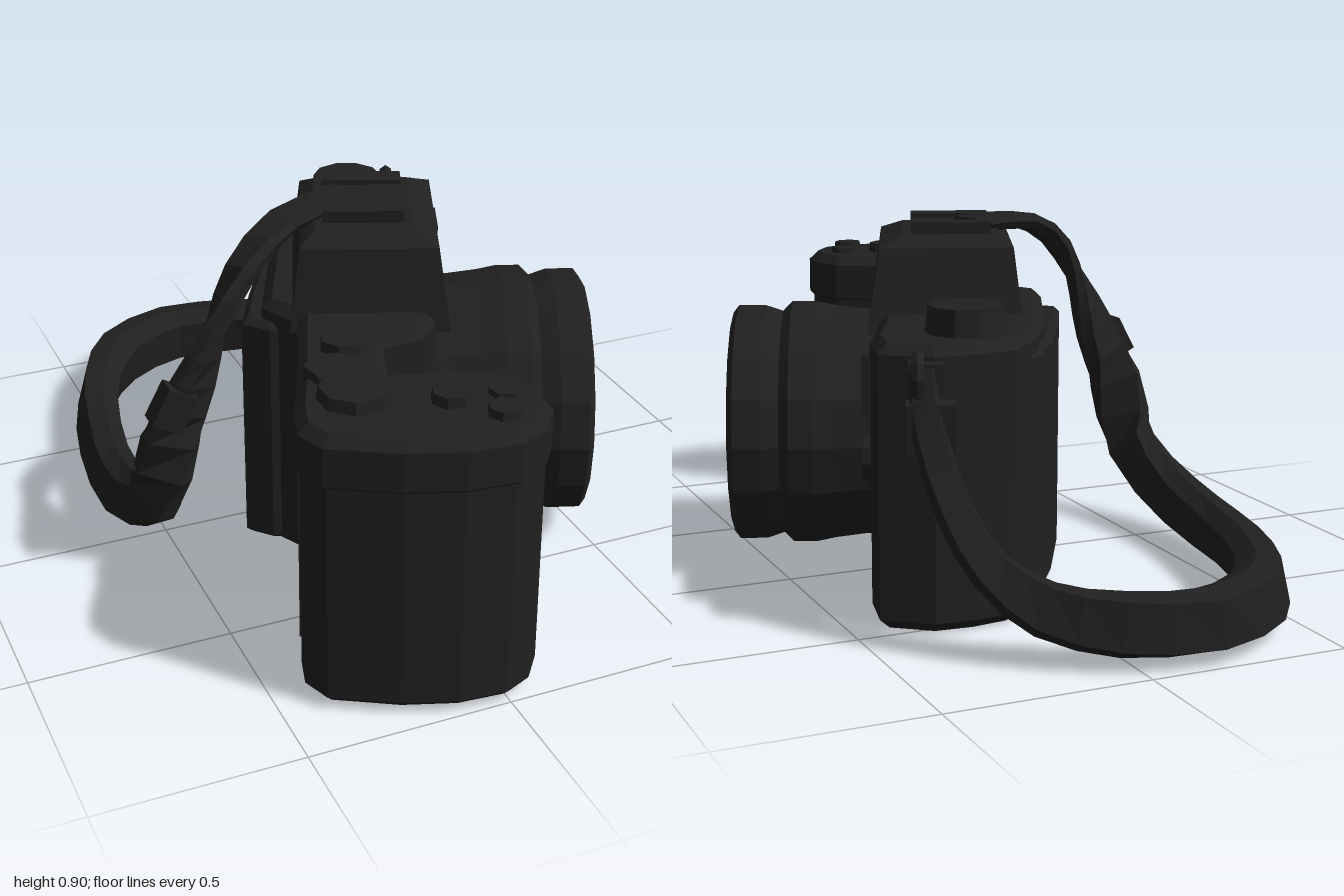
import * as THREE from 'three';

const black = new THREE.MeshStandardMaterial({ color: 0x202020 });
black.name = 'matte black';

// Faceted normals for the low-poly look
function flat(geo) {
  const g = geo.index ? geo.toNonIndexed() : geo;
  g.computeVertexNormals();
  return g;
}

function add(parent, name, geo, x = 0, y = 0, z = 0) {
  const m = new THREE.Mesh(flat(geo), black);
  m.name = name;
  m.position.set(x, y, z);
  parent.add(m);
  return m;
}

// Solid from a plan outline of [x, z] points between two heights
function slab(points, y0, y1, bevel = 0.02) {
  const shape = new THREE.Shape(points.map(([x, z]) => new THREE.Vector2(x, -z)));
  const g = new THREE.ExtrudeGeometry(shape, {
    depth: y1 - y0 - 2 * bevel, bevelEnabled: true, bevelSegments: 1,
    bevelSize: bevel, bevelThickness: bevel, bevelOffset: -bevel,
  });
  return g.rotateX(-Math.PI / 2).translate(0, y0 + bevel, 0);
}

// Box whose top face has its own extents: [x0, x1, z0, z1]
function taper(base, top, y0, y1) {
  const g = new THREE.BoxGeometry(1, 1, 1);
  const p = g.attributes.position;
  for (let i = 0; i < p.count; i++) {
    const up = p.getY(i) > 0;
    const e = up ? top : base;
    p.setXYZ(i, p.getX(i) < 0 ? e[0] : e[1], up ? y1 : y0, p.getZ(i) < 0 ? e[2] : e[3]);
  }
  return g;
}

// Ribbon swept along rows of [x, y, z, width, thickness, twist in degrees]
function ribbon(rows) {
  const curve = new THREE.CatmullRomCurve3(rows.map(r => new THREE.Vector3(r[0], r[1], r[2])));
  const steps = (rows.length - 1) * 2, pos = [], idx = [];
  const up = new THREE.Vector3(0, 1, 0);
  for (let i = 0; i <= steps; i++) {
    const t = i / steps, a = rows[Math.floor(i / 2)], b = rows[Math.ceil(i / 2)];
    const [w, thick, deg] = [3, 4, 5].map(k => (a[k] + b[k]) / 2);
    const ang = THREE.MathUtils.degToRad(deg);
    const c = curve.getPoint(t), T = curve.getTangent(t);
    const H = new THREE.Vector3().crossVectors(T, up).normalize();
    const N = new THREE.Vector3().crossVectors(H, T);
    const W = H.multiplyScalar(Math.cos(ang)).addScaledVector(N, Math.sin(ang));
    const D = new THREE.Vector3().crossVectors(W, T);
    // six-sided section: thicker in the middle than at the edges
    for (const [u, v] of [[1, 0], [0.75, 1], [-0.75, 1], [-1, 0], [-0.75, -1], [0.75, -1]]) {
      const q = c.clone().addScaledVector(W, u * w / 2).addScaledVector(D, v * thick / 2);
      pos.push(q.x, q.y, q.z);
    }
  }
  for (let i = 0; i < steps; i++) {
    for (let j = 0; j < 6; j++) {
      const a = i * 6 + j, b = i * 6 + (j + 1) % 6;
      idx.push(a, a + 6, b, b, a + 6, b + 6);
    }
  }
  const last = steps * 6;
  for (let j = 1; j < 5; j++) {
    idx.push(0, j, j + 1);
    idx.push(last, last + j + 1, last + j);
  }
  const g = new THREE.BufferGeometry();
  g.setAttribute('position', new THREE.Float32BufferAttribute(pos, 3));
  g.setIndex(idx);
  return g;
}

export function createModel() {
  const model = new THREE.Group();
  model.name = 'camera';
  // The camera is turned on its stand; its own front is local +z
  const cam = new THREE.Group();
  cam.name = 'cameraBody';
  cam.rotation.y = 1.192;
  model.add(cam);

  // Main body and the raised back plate
  add(cam, 'body', slab([
    [0.54, -0.09], [0.59, 0.0], [0.62, 0.1], [0.585, 0.23], [0.455, 0.25], [0.28, 0.235], [-0.3, 0.225],
    [-0.39, 0.19], [-0.44, 0.09], [-0.7, 0.1], [-0.7, -0.113], [-0.3, -0.112], [-0.22, -0.2],
    [0.21, -0.18], [0.4, -0.145],
  ], 0.005, 0.69, 0.025));
  add(cam, 'backPlate', slab([
    [0.53, -0.08], [0.39, -0.16], [0.21, -0.2], [-0.05, -0.235], [-0.225, -0.25],
    [-0.26, -0.18], [-0.24, 0], [0.5, 0],
  ], 0.02, 0.64, 0.015));

  // Hand grip with a wider cap
  const grip = [
    [-0.64, 0.13], [-0.625, 0.25], [-0.65, 0.367], [-0.714, 0.425], [-0.793, 0.45], [-0.88, 0.425],
    [-0.935, 0.37], [-0.97, 0.253], [-0.975, 0.115], [-0.95, -0.058], [-0.89, -0.111],
    [-0.81, -0.119], [-0.66, -0.113],
  ];
  const inset = grip.map(([x, z]) => [-0.79 + (x + 0.79) * 0.96, 0.15 + (z - 0.15) * 0.96]);
  add(cam, 'grip', slab(inset, 0.015, 0.62));
  add(cam, 'gripCap', slab(grip, 0.57, 0.715, 0.025));

  // Viewfinder hump with a sloped brow and accessory shoe
  add(cam, 'viewfinderHump', taper([-0.305, 0.21, -0.13, 0.26], [-0.28, 0.155, -0.105, 0.23], 0.64, 0.85));
  add(cam, 'humpTop', taper([-0.28, 0.155, -0.105, 0.23], [-0.22, 0.11, -0.07, 0.17], 0.85, 0.875));
  add(cam, 'shoePlate', new THREE.BoxGeometry(0.26, 0.025, 0.2), -0.05, 0.88, 0.05);
  for (const s of [-1, 1]) {
    add(cam, 'shoeRail', new THREE.BoxGeometry(0.06, 0.03, 0.2), -0.05 + s * 0.1, 0.89, 0.05);
  }

  // Lens barrel with a grooved collar, front rim and shallow throat
  const profile = [
    [0.3, 0.18], [0.3, 0.27], [0.31, 0.35], [0.32, 0.4], [0.32, 0.46],
    [0.295, 0.485], [0.31, 0.53], [0.31, 0.6], [0.29, 0.615], [0.255, 0.61], [0.235, 0.55], [0.2, 0.51],
  ].map(p => new THREE.Vector2(...p));
  add(cam, 'lensBarrel',
    new THREE.LatheGeometry(profile, 16).rotateX(Math.PI / 2).scale(1.03, 1, 1), -0.08, 0.36, 0);
  const glass = [[0.215, 0.49], [0.18, 0.53], [0.1, 0.55], [0, 0.555]].map(p => new THREE.Vector2(...p));
  add(cam, 'lensGlass', new THREE.LatheGeometry(glass, 12).rotateX(Math.PI / 2), -0.08, 0.365, 0);

  // Dials and buttons on top: [name, x, z, radius, bottom, top, sides]
  for (const [name, x, z, r, y0, y1, n] of [
    ['leftDial', 0.43, 0.023, 0.1, 0.67, 0.755, 10],
    ['neckButton', -0.475, -0.005, 0.06, 0.68, 0.715, 7],
    ['neckDial', -0.655, -0.03, 0.075, 0.68, 0.735, 6],
    ['modeDial', -0.77, 0.015, 0.09, 0.7, 0.745, 8],
    ['gripButton', -0.783, 0.225, 0.05, 0.7, 0.74, 7],
    ['gripButton', -0.757, 0.345, 0.04, 0.7, 0.73, 6],
    ['shutterButton', -0.846, 0.337, 0.042, 0.7, 0.735, 7],
  ]) {
    add(cam, name, new THREE.CylinderGeometry(r * 0.9, r, y1 - y0, n), x, (y0 + y1) / 2, z);
  }

  // Flash cover and release button beside the lens
  add(cam, 'frontCover', new THREE.BoxGeometry(0.13, 0.14, 0.04), 0.4, 0.57, 0.25);
  add(cam, 'releaseButton',
    new THREE.CylinderGeometry(0.05, 0.06, 0.04, 8).rotateX(Math.PI / 2), 0.385, 0.37, 0.25);

  // Strap lug, ring and buckle at the left end
  add(cam, 'strapLug', new THREE.BoxGeometry(0.06, 0.07, 0.08), 0.62, 0.62, 0.12);
  add(cam, 'strapRing', new THREE.TorusGeometry(0.045, 0.016, 5, 8), 0.66, 0.63, 0.14);
  add(cam, 'strapBuckle', new THREE.BoxGeometry(0.06, 0.12, 0.11), 0.665, 0.51, 0.11);

  // Neck strap: over the hump, down behind, around on the ground and up to the lug
  add(model, 'strap', ribbon([
    [0.0, 0.885, 0.03, 0.1, 0.04, 180], [-0.2, 0.88, 0.11, 0.1, 0.04, 180],
    [-0.34, 0.805, 0.19, 0.11, 0.045, 160], [-0.42, 0.68, 0.22, 0.13, 0.05, 140],
    [-0.48, 0.55, 0.225, 0.14, 0.06, 125], [-0.54, 0.4, 0.21, 0.15, 0.07, 115],
    [-0.57, 0.22, 0.16, 0.15, 0.08, 105], [-0.59, 0.115, -0.08, 0.16, 0.09, 85],
    [-0.56, 0.095, -0.38, 0.155, 0.09, 75], [-0.485, 0.095, -0.65, 0.155, 0.1, 75],
    [-0.37, 0.095, -0.83, 0.155, 0.12, 80], [-0.18, 0.095, -0.925, 0.15, 0.13, 85],
    [0.02, 0.1, -0.89, 0.15, 0.11, 80], [0.17, 0.13, -0.81, 0.13, 0.09, 70],
    [0.27, 0.21, -0.735, 0.1, 0.07, 55], [0.33, 0.34, -0.665, 0.09, 0.06, 40],
    [0.36, 0.5, -0.6, 0.08, 0.05, 30], [0.36, 0.64, -0.55, 0.06, 0.05, 20],
  ]));
  // Slide on the strap behind the grip
  add(model, 'strapSlide', new THREE.BoxGeometry(0.08, 0.1, 0.06), -0.545, 0.51, 0.25).rotation.z = -0.5;

  return model;
}
